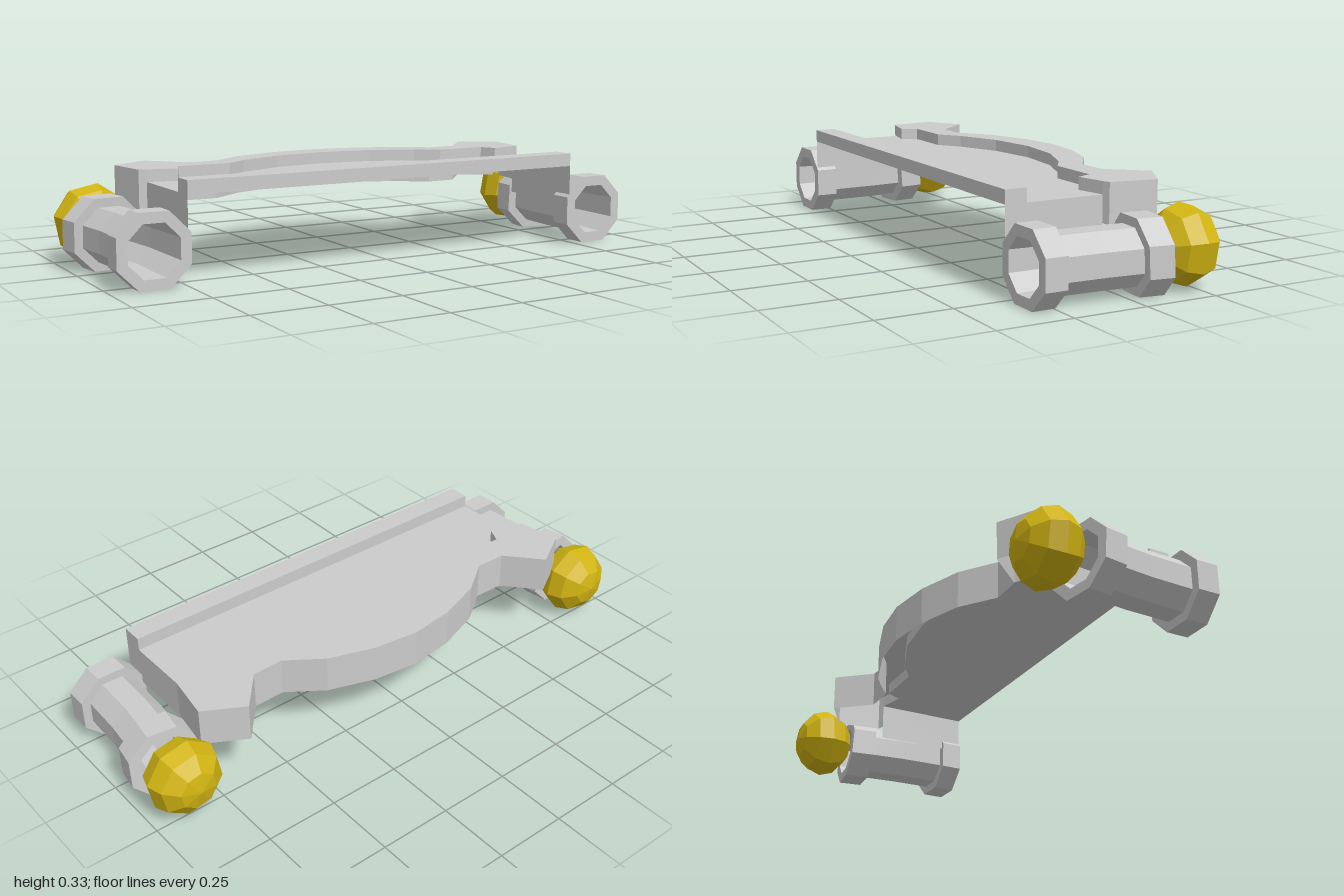
import * as THREE from 'three';

const grey = new THREE.MeshStandardMaterial({ color: 0xcccccc, flatShading: true, side: THREE.DoubleSide });
const amber = new THREE.MeshStandardMaterial({ color: 0xd1b412, flatShading: true });

const CX = -0.01; // centre line of the deck
const DECK = 0.285, TOP = 0.326, SKIRT = 0.195;

// Half outlines as [distance from centre line, z], from the middle outwards
const outerHalf = [[0, -0.305], [0.16, -0.285], [0.32, -0.23], [0.44, -0.145],
  [0.55, -0.147], [0.655, -0.268], [0.79, -0.19], [0.765, -0.03]];
const innerHalf = [[0, -0.2], [0.19, -0.175], [0.35, -0.11], [0.43, -0.055],
  [0.615, -0.055], [0.64, 0], [0.74, -0.022]];

// Mirrors a half outline into a full one running from -x to +x
function mirrored(half) {
  const left = half.slice(1).reverse().map(([u, z]) => [CX - u, z]);
  return [...left, ...half.map(([u, z]) => [CX + u, z])];
}

function add(parent, name, geometry, material = grey) {
  const mesh = new THREE.Mesh(geometry, material);
  mesh.name = name;
  parent.add(mesh);
  return mesh;
}

// Flat sheet at height y with its upper side facing up
function sheet(points, y) {
  const shape = new THREE.Shape(points.map(([x, z]) => new THREE.Vector2(x, -z)));
  return new THREE.ShapeGeometry(shape).rotateX(-Math.PI / 2).translate(0, y, 0);
}

// Upright strip that follows an outline
function wall(points, y0, y1) {
  const pos = [], index = [];
  points.forEach(([x, z], i) => {
    pos.push(x, y0, z, x, y1, z);
    if (i) {
      const a = 2 * i - 2;
      index.push(a, a + 1, a + 2, a + 1, a + 3, a + 2);
    }
  });
  const g = new THREE.BufferGeometry();
  g.setAttribute('position', new THREE.Float32BufferAttribute(pos, 3));
  g.setIndex(index);
  g.computeVertexNormals();
  return g;
}

// Hollow eight-sided tube with a collar at each end, bending outward at the back
function tubeGeometry(side) {
  const profile = [[0.085, -0.12], [0.12, -0.12], [0.12, -0.035], [0.09, -0.035], [0.09, 0.09],
    [0.09, 0.245], [0.12, 0.245], [0.12, 0.322], [0.085, 0.322], [0.08, 0.09], [0.085, -0.12]];
  const k = Math.cos(Math.PI / 8);
  const g = new THREE.LatheGeometry(
    profile.map(([r, z]) => new THREE.Vector2(r / k, z)), 8, Math.PI / 8);
  g.rotateX(Math.PI / 2);
  const p = g.attributes.position;
  for (let i = 0; i < p.count; i++) {
    const x = p.getX(i), z = p.getZ(i), t = Math.max(0, 0.245 - z);
    p.setX(i, x + side * 0.23 * t * t);
    p.setZ(i, z + side * 0.4 * t * x + (t > 0.2 ? 0.06 * p.getY(i) : 0));
  }
  g.computeVertexNormals();
  return g;
}

export function createModel() {
  const model = new THREE.Group();
  model.name = 'model';
  const outer = mirrored(outerHalf), inner = mirrored(innerHalf);

  // Thin deck with a raised front lip
  const deck = new THREE.Group();
  deck.name = 'deck';
  model.add(deck);
  add(deck, 'deckPlate', sheet([...inner, [CX + 0.74, 0.32], [CX - 0.74, 0.32]], DECK));
  add(deck, 'frontLip', new THREE.BoxGeometry(1.48, 0.045, 0.075).translate(CX, 0.3075, 0.2825));

  // Raised arched rim along the back: top, outer skirt, inner step
  const rim = new THREE.Group();
  rim.name = 'rearRim';
  model.add(rim);
  add(rim, 'rimTop', sheet([...outer, ...inner.slice().reverse()], TOP));
  add(rim, 'rimSkirt', wall([inner[0], ...outer, inner[inner.length - 1]], SKIRT, TOP));
  add(rim, 'rimStep', wall(inner, DECK, TOP));

  for (const side of [1, -1]) {
    const label = side > 0 ? 'left' : 'right';

    // Side panel hanging from the deck beside the tube
    const x = CX + side * 0.74;
    add(deck, label + 'SidePanel', wall([[x, -0.022], [x, 0.32]], 0.15, DECK));

    // Collared tube with a faceted bulb closing its back end
    const pod = new THREE.Group();
    pod.name = label + 'Pod';
    model.add(pod);
    add(pod, label + 'Tube', tubeGeometry(side)).position.set(CX + side * 0.85, 0.122, 0);
    const bulb = new THREE.SphereGeometry(1, 8, 6).rotateX(Math.PI / 2).rotateZ(0.2 * side);
    bulb.scale(0.13, 0.13, 0.106);
    add(pod, label + 'Bulb', bulb, amber).position.set(side * 0.874 - 0.002, 0.138, -0.219);
  }
  return model;
}
